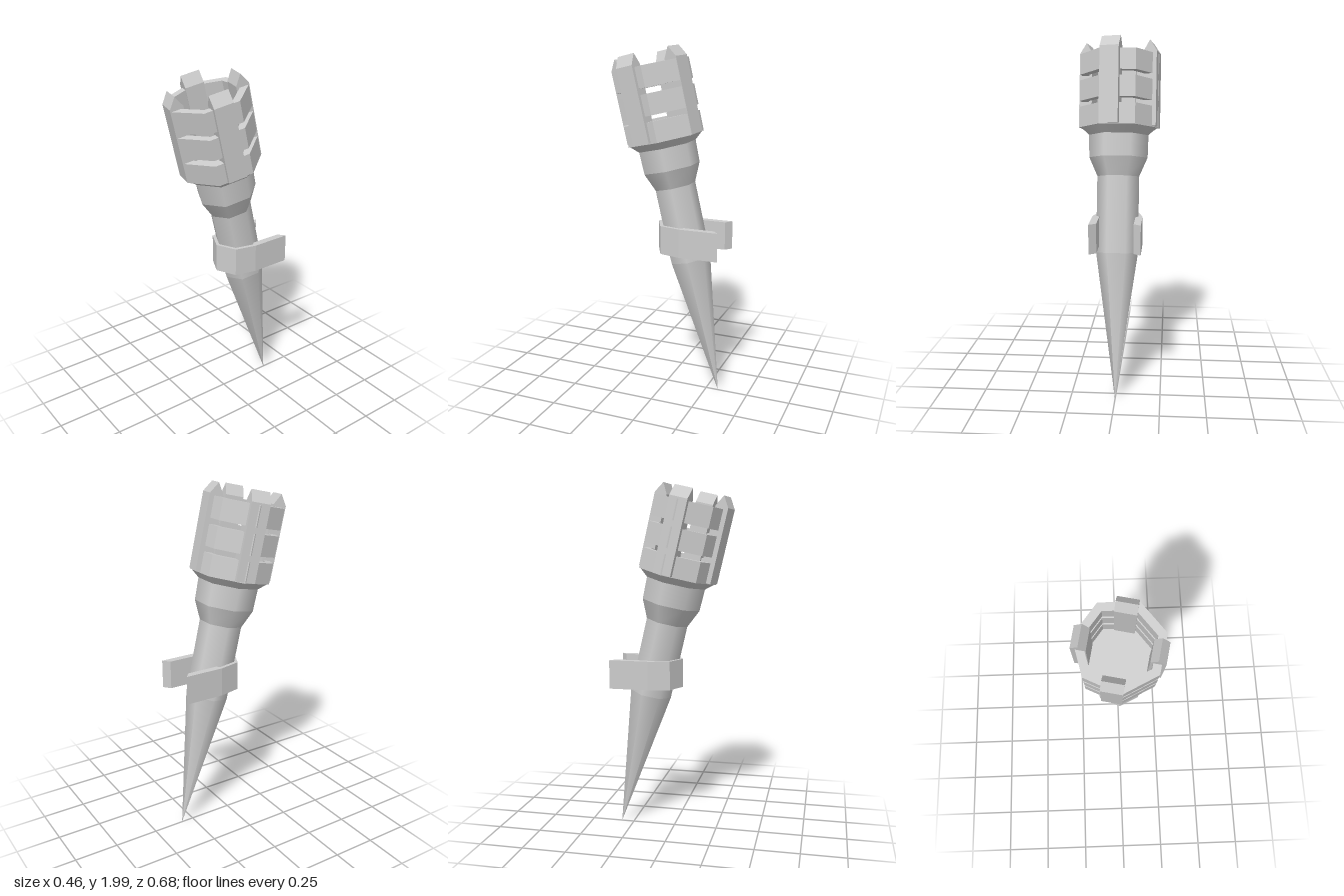
import * as THREE from 'three';

const SIDES = 7;
const smooth = new THREE.MeshStandardMaterial({ color: 0xcccccc });
const flat = new THREE.MeshStandardMaterial({ color: 0xcccccc, flatShading: true });

function add(parent, name, geometry, material = flat) {
  const mesh = new THREE.Mesh(geometry, material);
  mesh.name = name;
  parent.add(mesh);
  return mesh;
}

// Corner i of a seven-sided outline; shape y points to the back, corner 0 to the front
function corner(i, r, z = 0) {
  const a = (i / SIDES) * Math.PI * 2;
  return new THREE.Vector2(Math.sin(a) * r, -Math.cos(a) * r - z);
}

// Upright extrusion of a plan outline, from y0 up
function extrudeUp(shape, y0, height) {
  return new THREE.ExtrudeGeometry(shape, { depth: height, bevelEnabled: false })
    .rotateX(-Math.PI / 2)
    .translate(0, y0, 0);
}

export function createModel() {
  const model = new THREE.Group();
  model.name = 'wallTorch';

  // Everything but the bracket leans forward around the tip
  const torch = new THREE.Group();
  torch.name = 'torch';
  torch.position.set(0, 0.01, -0.323);
  torch.rotation.x = THREE.MathUtils.degToRad(13);
  model.add(torch);

  // Shaft sections: name, start, end, start radius, end radius
  const sections = [
    ['spike', 0, 0.82, 0, 0.12],
    ['handle', 0.82, 1.246, 0.12, 0.12],
    ['neckFlare', 1.246, 1.35, 0.12, 0.167],
    ['neck', 1.35, 1.475, 0.167, 0.17],
    ['bowl', 1.475, 1.52, 0.17, 0.222],
  ];
  for (const [name, y0, y1, r0, r1] of sections) {
    const open = name !== 'bowl';
    const g = new THREE.CylinderGeometry(r1, r0, y1 - y0, SIDES, 1, open);
    add(torch, name, g.translate(0, (y0 + y1) / 2, 0), smooth);
  }

  // Three basket bands
  const ringPoints = (r) => Array.from({ length: SIDES }, (_, i) => corner(i, r));
  const band = new THREE.Shape(ringPoints(0.225));
  band.holes.push(new THREE.Path(ringPoints(0.18)));
  for (let i = 0; i < 3; i++) {
    add(torch, 'basketBand' + (i + 1), extrudeUp(band, 1.515 + i * 0.147, 0.115));
  }

  // Four basket posts with ridged tops
  const profile = new THREE.Shape([
    new THREE.Vector2(0.148, 1.52),
    new THREE.Vector2(0.222, 1.52),
    new THREE.Vector2(0.222, 1.935),
    new THREE.Vector2(0.183, 1.995),
    new THREE.Vector2(0.148, 1.935),
  ]);
  const width = 0.107;
  const postGeometry = new THREE.ExtrudeGeometry(profile, { depth: width, bevelEnabled: false })
    .translate(0, 0, -width / 2);
  for (let i = 0; i < 4; i++) {
    const post = add(torch, 'basketPost' + (i + 1), postGeometry);
    post.rotation.y = THREE.MathUtils.degToRad(-12 + i * 90 - 90);
  }

  // Upright U-shaped wall bracket: arms run back, seven-sided curve in front
  const outer = [], inner = [];
  for (let i = -2; i <= 2; i++) {
    outer.push(corner(i, 0.143, -0.092));
    inner.push(corner(i, 0.103, -0.092));
  }
  const bracket = new THREE.Shape([
    new THREE.Vector2(-0.139, 0.347),
    ...outer,
    new THREE.Vector2(0.139, 0.347),
    new THREE.Vector2(0.1, 0.315),
    ...inner.reverse(),
    new THREE.Vector2(-0.1, 0.315),
  ]);
  add(model, 'wallBracket', extrudeUp(bracket, 0.85, 0.163));

  return model;
}
